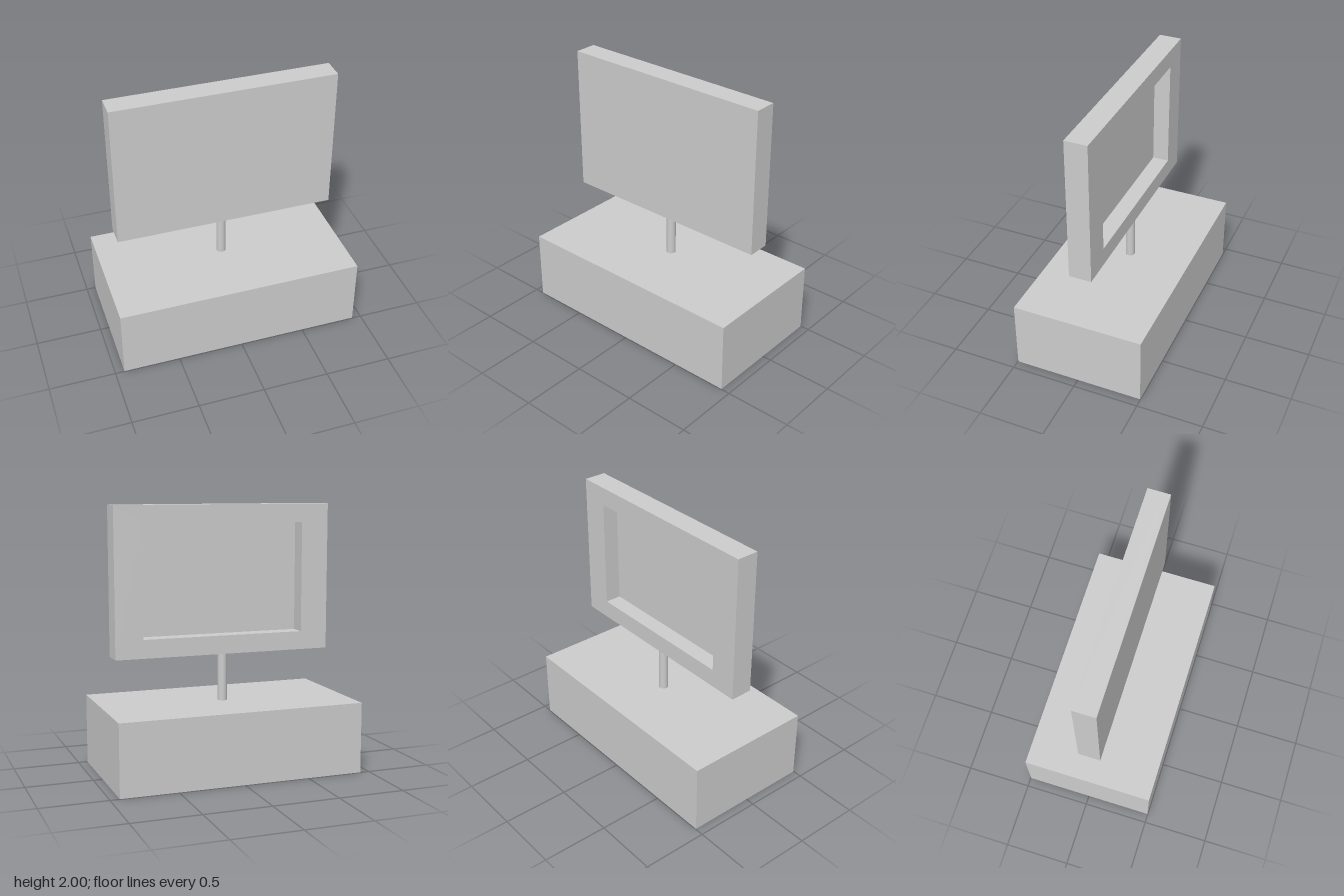
import * as THREE from 'three';

const material = new THREE.MeshStandardMaterial({ color: 0xcccccc });

function addPart(group, name, geometry, x, y, z) {
  const mesh = new THREE.Mesh(geometry, material);
  mesh.name = name;
  mesh.position.set(x, y, z);
  group.add(mesh);
}

// Rectangle outline centred on the origin
function rectangle(PathType, w, h) {
  const x = w / 2, y = h / 2;
  return new PathType([[-x, -y], [x, -y], [x, y], [-x, y]].map(p => new THREE.Vector2(...p)));
}

export function createModel() {
  const model = new THREE.Group();
  model.name = 'panelOnStand';

  const baseHeight = 0.535;
  const panel = { w: 1.667, h: 1.105, d: 0.17, x: 0.008, bottom: 0.895, back: -0.087 };
  const recess = { w: 1.244, h: 0.828, d: 0.125 };
  const panelY = panel.bottom + panel.h / 2;
  const plateDepth = panel.d - recess.d;

  // Block base
  addPart(model, 'base', new THREE.BoxGeometry(1.86, baseHeight, 0.994), 0, baseHeight / 2, 0);

  // Round post between base and panel
  const postHeight = panel.bottom - baseHeight;
  addPart(model, 'post', new THREE.CylinderGeometry(0.035, 0.035, postHeight, 32),
    0.004, baseHeight + postHeight / 2, -0.027);

  // Solid front plate of the panel
  addPart(model, 'panelFront', new THREE.BoxGeometry(panel.w, panel.h, plateDepth),
    panel.x, panelY, panel.back + recess.d + plateDepth / 2);

  // Rim around the recess in the back of the panel
  const rim = rectangle(THREE.Shape, panel.w, panel.h);
  rim.holes.push(rectangle(THREE.Path, recess.w, recess.h));
  addPart(model, 'panelRim', new THREE.ExtrudeGeometry(rim, { depth: recess.d, bevelEnabled: false }),
    panel.x, panelY, panel.back);

  return model;
}
